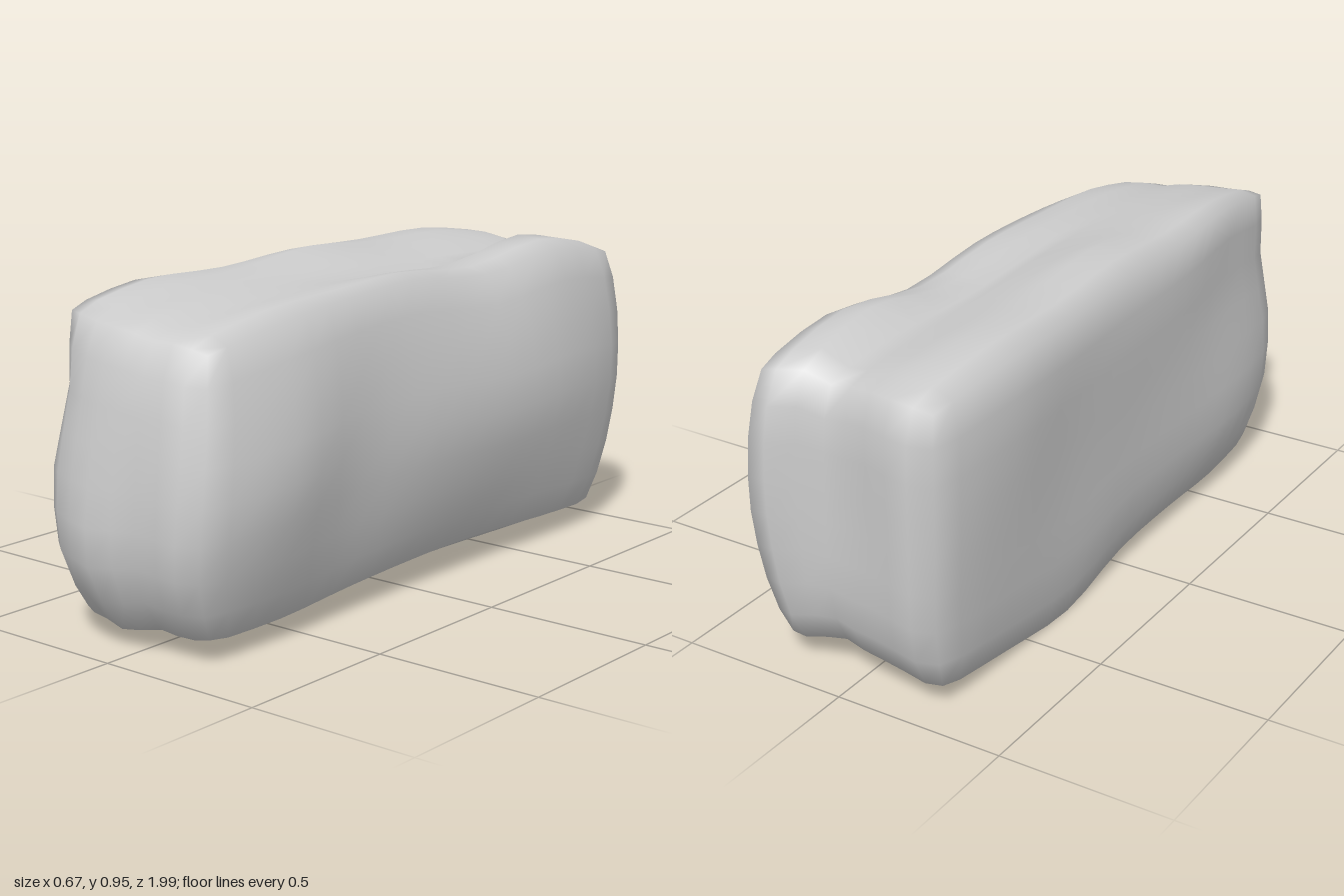
import * as THREE from 'three';
import { mergeVertices } from 'three/addons/utils/BufferGeometryUtils.js';

// Smooth (Catmull-Rom) sampling of a row, then of a grid, with u and v in 0..1
function sampleRow(a, u) {
  const t = Math.min(Math.max(u, 0), 1) * (a.length - 1);
  const i = Math.min(Math.floor(t), a.length - 2), f = t - i;
  const p = (k) => a[Math.min(Math.max(k, 0), a.length - 1)];
  const [p0, p1, p2, p3] = [p(i - 1), p(i), p(i + 1), p(i + 2)];
  return p1 + 0.5 * f * (p2 - p0 + f * (2 * p0 - 5 * p1 + 4 * p2 - p3 + f * (3 * (p1 - p2) + p3 - p0)));
}
const sample = (grid, u, v) => sampleRow(grid.map((row) => sampleRow(row, u)), v);

// Heights of the top and underside: columns run along x, rows along z
const TOP = [
  [0.88, 0.89, 0.89, 0.885, 0.87, 0.86, 0.89, 0.89, 0.885],
  [0.92, 0.93, 0.93, 0.91, 0.885, 0.875, 0.945, 0.935, 0.925],
  [0.92, 0.93, 0.935, 0.915, 0.895, 0.87, 0.895, 0.89, 0.885],
  [0.92, 0.94, 0.957, 0.93, 0.91, 0.885, 0.905, 0.915, 0.915],
  [0.92, 0.925, 0.93, 0.92, 0.91, 0.90, 0.905, 0.905, 0.905],
  [0.94, 0.93, 0.92, 0.905, 0.90, 0.885, 0.89, 0.89, 0.875],
  [0.90, 0.89, 0.88, 0.875, 0.865, 0.85, 0.85, 0.84, 0.83],
];
const BOTTOM = [
  [0.045, 0.05, 0.06, 0.065, 0.07, 0.08, 0.07, 0.06, 0.055],
  [0.01, 0.035, 0.055, 0.06, 0.065, 0.07, 0.06, 0.06, 0.065],
  [-0.02, 0.01, 0.05, 0.06, 0.065, 0.075, 0.06, 0.065, 0.08],
  [0.03, 0.04, 0.055, 0.06, 0.065, 0.075, 0.065, 0.07, 0.075],
  [0.035, 0.045, 0.055, 0.05, 0.055, 0.07, 0.06, 0.065, 0.065],
  [0.02, 0.035, 0.045, 0.015, 0.03, 0.06, 0.045, 0.05, 0.05],
  [0.04, 0.045, 0.045, 0.035, 0.045, 0.06, 0.05, 0.05, 0.05],
];
// Reach of the two ends: columns run along x, rows upwards
const FRONT = [
  [0.86, 0.88, 0.90, 0.90, 0.89, 0.88, 0.88],
  [0.93, 0.96, 0.995, 0.975, 0.95, 0.955, 0.95],
  [0.94, 0.96, 0.985, 0.97, 0.955, 0.955, 0.95],
  [0.88, 0.92, 0.94, 0.94, 0.93, 0.92, 0.91],
  [0.88, 0.89, 0.90, 0.90, 0.89, 0.88, 0.87],
];
const BACK = [
  [0.93, 0.93, 0.92, 0.91, 0.90, 0.92, 0.94],
  [0.97, 0.97, 0.95, 0.94, 0.93, 0.96, 0.99],
  [0.98, 0.98, 0.955, 0.935, 0.935, 0.98, 1.02],
  [0.98, 0.98, 0.955, 0.93, 0.93, 0.98, 1.02],
  [0.97, 0.97, 0.95, 0.92, 0.92, 0.96, 0.99],
];
// Reach of the two sides: columns run upwards, rows along z
const PLUS_X = [
  [0.24, 0.27, 0.285, 0.28, 0.26],
  [0.245, 0.295, 0.33, 0.305, 0.265],
  [0.235, 0.295, 0.335, 0.305, 0.24],
  [0.235, 0.29, 0.32, 0.29, 0.235],
  [0.24, 0.28, 0.30, 0.285, 0.245],
  [0.245, 0.30, 0.335, 0.305, 0.25],
  [0.235, 0.27, 0.285, 0.27, 0.235],
];
const MINUS_X = [
  [0.28, 0.29, 0.30, 0.30, 0.295],
  [0.29, 0.31, 0.325, 0.335, 0.325],
  [0.295, 0.315, 0.315, 0.32, 0.325],
  [0.285, 0.31, 0.31, 0.315, 0.31],
  [0.28, 0.315, 0.31, 0.305, 0.305],
  [0.27, 0.32, 0.305, 0.285, 0.30],
  [0.26, 0.285, 0.285, 0.275, 0.28],
];

function stoneGeometry() {
  let g = new THREE.BoxGeometry(2, 2, 2, 8, 8, 18);
  g.deleteAttribute('normal');
  g.deleteAttribute('uv');
  g = mergeVertices(g);
  const pos = g.attributes.position;
  // Edge rounding, longer along z than across
  const half = new THREE.Vector3(0.31, 0.45, 0.6), radius = 0.06;
  const inner = half.clone().subScalar(radius), outer = inner.clone().negate();
  const p = new THREE.Vector3(), c = new THREE.Vector3();
  for (let i = 0; i < pos.count; i++) {
    // Round the edges
    p.fromBufferAttribute(pos, i).multiply(half);
    c.copy(p).clamp(outer, inner);
    p.sub(c).setLength(radius).add(c).divide(half);
    // Push each face out to its uneven surface
    const u = (p.x + 1) / 2, v = (p.y + 1) / 2, w = (p.z + 1) / 2;
    const x = p.x * sample(p.x > 0 ? PLUS_X : MINUS_X, v, w);
    const y = THREE.MathUtils.lerp(sample(BOTTOM, u, w), sample(TOP, u, w), v);
    const z = p.z * sample(p.z > 0 ? FRONT : BACK, u, v);
    pos.setXYZ(i, x, y, z);
  }
  g.computeVertexNormals();
  return g;
}

export function createModel() {
  const group = new THREE.Group();
  group.name = 'stone';
  const block = new THREE.Mesh(stoneGeometry(), new THREE.MeshStandardMaterial({ color: 0xcccccc }));
  block.name = 'stoneBlock';
  group.add(block);
  return group;
}
